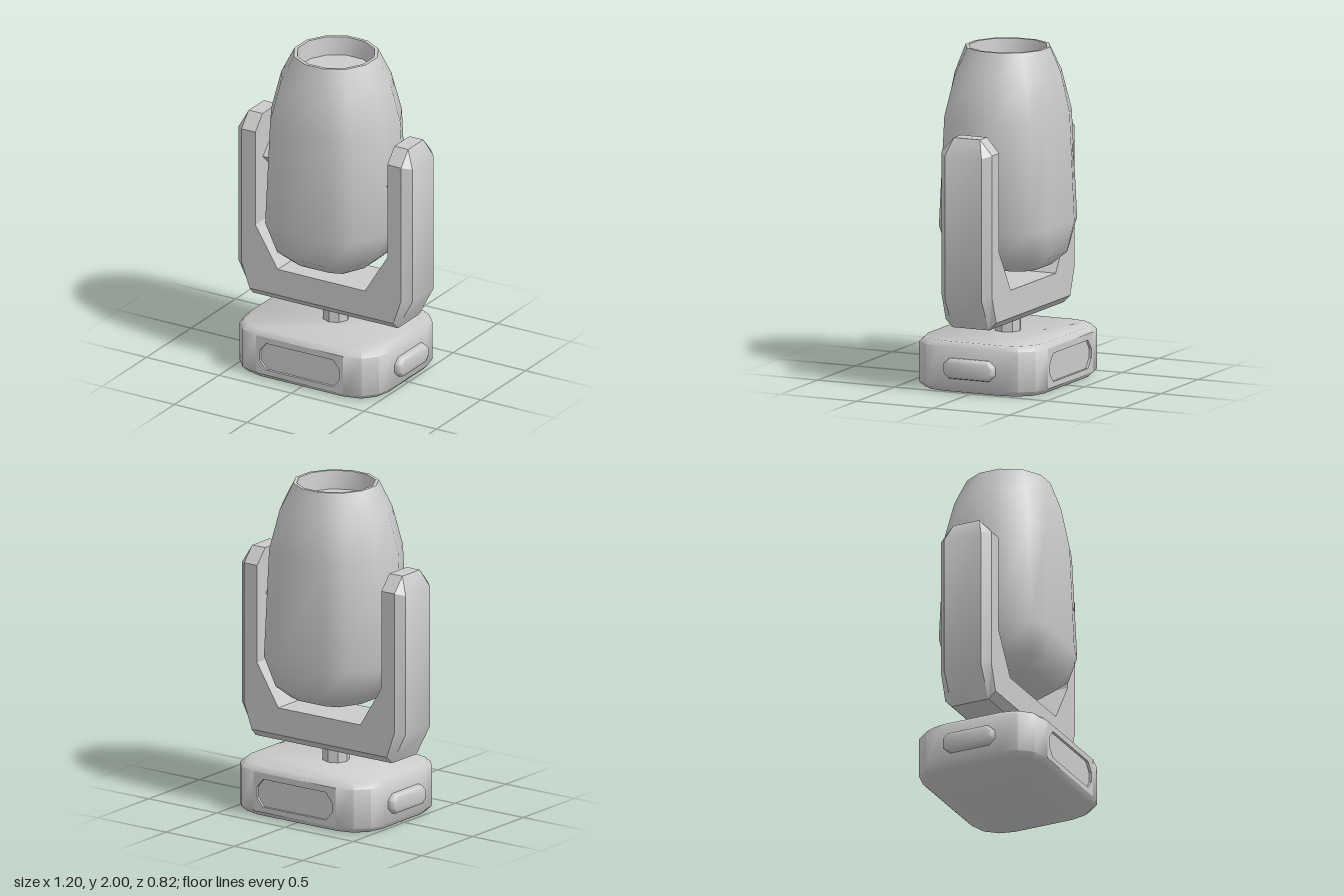
import * as THREE from 'three';
import { toCreasedNormals } from 'three/addons/utils/BufferGeometryUtils.js';

const material = new THREE.MeshStandardMaterial({ color: 0xcccccc });

function addMesh(parent, name, geometry) {
  const mesh = new THREE.Mesh(geometry, material);
  mesh.name = name;
  parent.add(mesh);
  return mesh;
}

// Mirrors the [x, z] points of one quadrant into a closed ring at height y.
function ring(quadrant, y) {
  const reversed = [...quadrant].reverse();
  return [
    ...quadrant.map(([x, z]) => [x, y, -z]),
    ...reversed.map(([x, z]) => [-x, y, -z]),
    ...quadrant.map(([x, z]) => [-x, y, z]),
    ...reversed.map(([x, z]) => [x, y, z]),
  ];
}

// Joins rings of equal length into a closed skin with capped ends.
function loft(rings, crease, skip = () => false) {
  const positions = [];
  const tri = (a, b, c) => positions.push(...a, ...b, ...c);
  const n = rings[0].length;
  for (let i = 0; i < rings.length - 1; i++) {
    for (let j = 0; j < n; j++) {
      if (skip(i, j)) continue;
      const k = (j + 1) % n;
      tri(rings[i][j], rings[i][k], rings[i + 1][k]);
      tri(rings[i][j], rings[i + 1][k], rings[i + 1][j]);
    }
  }
  const first = rings[0], last = rings[rings.length - 1];
  for (let j = 1; j < n - 1; j++) {
    tri(first[0], first[j + 1], first[j]);
    tri(last[0], last[j], last[j + 1]);
  }
  const geometry = new THREE.BufferGeometry();
  geometry.setAttribute('position', new THREE.Float32BufferAttribute(positions, 3));
  return toCreasedNormals(geometry, crease);
}

function polygon(points, Type = THREE.Shape) {
  return new Type(points.map(([x, y]) => new THREE.Vector2(x, y)));
}

function createBase() {
  const base = new THREE.Group();
  base.name = 'base';
  const outer = [[0.505, 0.2], [0.48, 0.3], [0.41, 0.38], [0.3, 0.41]];
  const inner = [[0.475, 0.19], [0.453, 0.28], [0.39, 0.352], [0.29, 0.38]];
  const rings = [ring(inner, 0), ring(outer, 0.03), ring(outer, 0.27), ring(inner, 0.3)];
  // The flat front and back walls are left open for the recessed panels.
  addMesh(base, 'baseBody', loft(rings, 0.9, (i, j) => i === 1 && (j === 3 || j === 11)));

  // Recessed front and back panels
  const outline = ring([[0.275, 0.03], [0.23, 0.085]], 0).map(([x, , z]) => [x, 0.147 - z]);
  const wall = polygon([[-0.3, 0.03], [0.3, 0.03], [0.3, 0.27], [-0.3, 0.27]]);
  wall.holes.push(polygon(outline, THREE.Path));
  for (const [name, angle] of [['front', 0], ['back', Math.PI]]) {
    const panel = new THREE.Group();
    panel.name = name + 'Panel';
    panel.rotation.y = angle;
    base.add(panel);
    const frame = new THREE.ExtrudeGeometry(wall, { depth: 0.02, bevelEnabled: false });
    addMesh(panel, 'panelFrame', frame).position.z = 0.39;
    addMesh(panel, 'panelFloor', new THREE.ShapeGeometry(polygon(outline))).position.z = 0.395;
  }

  // Rounded side grips
  const pill = polygon(ring([[0.14, 0.015], [0.118, 0.035]], 0).map(([x, , z]) => [x, -z]));
  for (const side of [-1, 1]) {
    const grip = new THREE.ExtrudeGeometry(pill, {
      depth: 0.04, bevelThickness: 0.025, bevelSize: 0.025, bevelSegments: 2,
    });
    const mesh = addMesh(base, side > 0 ? 'leftGrip' : 'rightGrip', toCreasedNormals(grip, 0.9));
    mesh.position.set(side * 0.485, 0.147, 0);
    mesh.rotation.y = side * Math.PI / 2;
  }
  return base;
}

// U-shaped yoke: a chamfered section swept down one arm and up the other
function createYoke() {
  const section = (inner, mid, outer, zWide, zOuter) => [
    [...outer, zOuter], [...outer, -zOuter], [...mid, -zWide],
    [...inner, -zWide], [...inner, zWide], [...mid, zWide],
  ];
  const arm = [
    section([0.3, 0.6], [0.495, 0.435], [0.5, 0.39], 0.165, 0.12),
    section([0.455, 0.85], [0.55, 0.59], [0.6, 0.58], 0.165, 0.12),
    section([0.455, 1.445], [0.55, 1.445], [0.6, 1.43], 0.165, 0.12),
    section([0.455, 1.535], [0.55, 1.535], [0.55, 1.535], 0.085, 0.085),
  ];
  const mirrored = arm.map(s => s.map(([x, y, z]) => [-x, y, z])).reverse();
  return loft([...mirrored, ...arm], 0.5);
}

// Lamp head: twelve-sided shell that turns from round at the rim to boxy below
function createHead() {
  const mix = THREE.MathUtils.lerp;
  const level = ([y, rx, rz, boxy]) => ring([
    [rx, rz * mix(0.27, 0.3, boxy)],
    [rx * 0.735, rz * mix(0.735, 0.87, boxy)],
    [rx * mix(0.27, 0.42, boxy), rz],
  ], y);
  return loft([
    [0.695, 0.235, 0.235, 1],
    [0.77, 0.32, 0.32, 1],
    [0.95, 0.41, 0.35, 1],
    [1.6, 0.385, 0.33, 0.8],
    [1.84, 0.325, 0.295, 0.4],
    [2, 0.245, 0.245, 0],
    [2, 0.225, 0.225, 0],
    [1.89, 0.212, 0.212, 0],
  ].map(level), 1);
}

export function createModel() {
  const model = new THREE.Group();
  model.name = 'movingHeadLight';
  model.add(createBase());

  // Pan post between base and yoke
  const post = new THREE.CylinderGeometry(0.08, 0.08, 0.14, 8);
  addMesh(model, 'panPost', toCreasedNormals(post, 0.5)).position.y = 0.35;

  addMesh(model, 'yoke', createYoke());
  addMesh(model, 'lampHead', createHead());

  // Four-sided tilt axles joining head and arms
  for (const side of [-1, 1]) {
    const axle = new THREE.CylinderGeometry(0.08, 0.08, 0.14, 4);
    const mesh = addMesh(model, side > 0 ? 'leftAxle' : 'rightAxle', toCreasedNormals(axle, 0.5));
    mesh.rotation.z = Math.PI / 2;
    mesh.position.set(side * 0.4, 1.258, 0);
  }
  return model;
}
